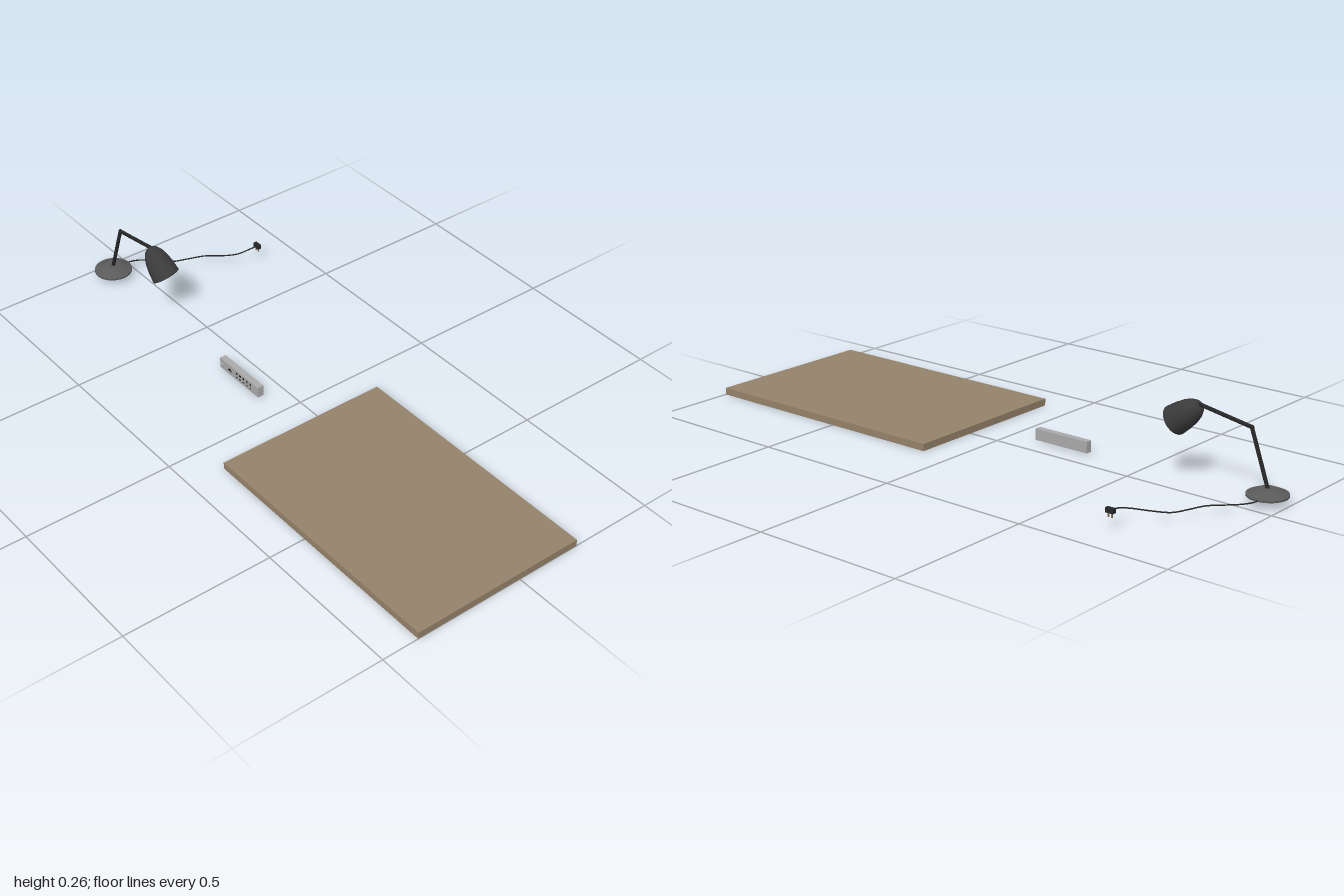
import * as THREE from 'three';

const mat = (name, color, extra = {}) => {
  const m = new THREE.MeshStandardMaterial({ color, ...extra });
  m.name = name;
  return m;
};

export function createModel() {
  const wood = mat('wood', 0x95826a);
  const silver = mat('lightGrey', 0xaaaaaa);
  const grey = mat('baseGrey', 0x5a5a5a, { flatShading: true });
  const black = mat('black', 0x262626);
  const shadeMat = mat('shadeBlack', 0x3a3a3a, { side: THREE.DoubleSide });
  const brass = mat('brass', 0x8a7355);

  const V = (x, y, z) => new THREE.Vector3(x, y, z);
  const root = new THREE.Group();
  root.name = 'deskSet';
  const add = (parent, name, geometry, material, x = 0, y = 0, z = 0) => {
    const m = new THREE.Mesh(geometry, material);
    m.name = name;
    m.position.set(x, y, z);
    parent.add(m);
    return m;
  };
  const box = (parent, name, w, h, d, material, x, y, z) =>
    add(parent, name, new THREE.BoxGeometry(w, h, d), material, x, y, z);
  const lathe = (pts, n) =>
    new THREE.LatheGeometry(pts.map(([r, y]) => new THREE.Vector2(r, y)), n);

  // Wooden board
  box(root, 'board', 0.892, 0.023, 0.596, wood, 0.554, 0.0115, 0.077);

  // Small bar with front markings and a button
  const bar = new THREE.Group();
  bar.name = 'bar';
  root.add(bar);
  box(bar, 'barBody', 0.2, 0.037, 0.022, silver, -0.196, 0.0235, 0.083);
  const button = add(bar, 'barButton', new THREE.CylinderGeometry(0.006, 0.006, 0.006, 16),
    silver, -0.282, 0.022, 0.096);
  button.rotation.x = Math.PI / 2;
  const triangle = new THREE.Shape([[-0.012, 0], [0.012, 0], [0, 0.012]]
    .map(([x, y]) => new THREE.Vector2(x, y)));
  add(bar, 'triangleMark', new THREE.ShapeGeometry(triangle), black, -0.243, 0.019, 0.0945);
  for (let i = 0; i < 5; i++) {
    const x = -0.207 + i * 0.018;
    box(bar, 'upperMark', 0.007, 0.007, 0.002, black, x, 0.031, 0.094);
    box(bar, 'lowerMark', 0.008, 0.003, 0.002, black, x, 0.017, 0.094);
  }

  // Lamp
  const lamp = new THREE.Group();
  lamp.name = 'lamp';
  root.add(lamp);
  const z = 0.078;
  add(lamp, 'lampBase', lathe([[0, 0.023], [0.063, 0.023], [0.063, 0.029],
    [0.027, 0.045], [0, 0.045]], 40), grey, -0.937, 0, z);

  // Two-part arm with round joints
  const joints = [V(-0.937, 0.04, z), V(-0.875, 0.214, z), V(-0.7, 0.244, z)];
  for (let i = 0; i < 2; i++) {
    const a = joints[i], b = joints[i + 1];
    const rod = add(lamp, i ? 'upperArm' : 'lowerArm',
      new THREE.CylinderGeometry(0.006, 0.006, a.distanceTo(b), 16), black);
    rod.position.copy(a).lerp(b, 0.5);
    rod.quaternion.setFromUnitVectors(V(0, 1, 0), b.clone().sub(a).normalize());
    add(lamp, 'armJoint', new THREE.SphereGeometry(0.0068, 16, 12), black, b.x, b.y, z);
  }

  // Open bell shade, tilted down and outward
  const shade = add(lamp, 'shade', lathe([[0, 0], [0.012, 0.001], [0.022, 0.008], [0.032, 0.024],
    [0.039, 0.045], [0.044, 0.073], [0.047, 0.108]], 40), shadeMat, -0.699, 0.242, z);
  shade.quaternion.setFromUnitVectors(V(0, 1, 0), V(0.81, -0.586, 0).normalize());

  // Cable from the base to the plug
  const path = new THREE.CatmullRomCurve3([
    V(-0.943, 0.025, 0.025), V(-0.938, 0.025, -0.005), V(-0.917, 0.025, -0.04),
    V(-0.853, 0.025, -0.107), V(-0.832, 0.025, -0.16), V(-0.81, 0.026, -0.214),
    V(-0.765, 0.033, -0.257), V(-0.73, 0.043, -0.296), V(-0.717, 0.052, -0.335),
    V(-0.714, 0.055, -0.365)]);
  add(lamp, 'cable', new THREE.TubeGeometry(path, 80, 0.0022, 8), black);

  // Plug with two prongs
  box(lamp, 'plug', 0.027, 0.015, 0.013, black, -0.715, 0.055, -0.369);
  for (const s of [-1, 1]) {
    box(lamp, 'plugProng', 0.002, 0.014, 0.005, brass, -0.715 + s * 0.006, 0.041, -0.369);
  }
  return root;
}
